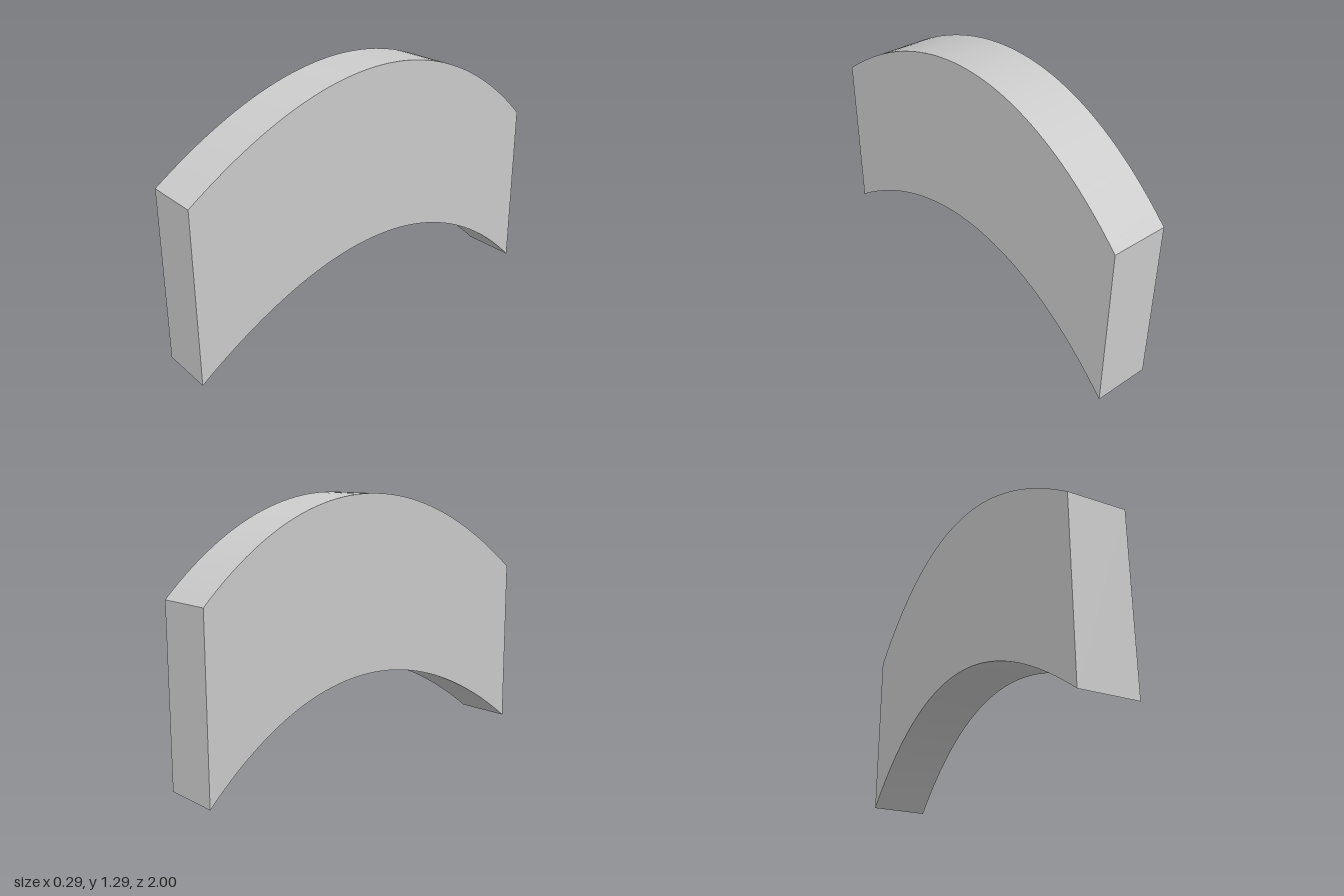
import * as THREE from 'three';
import { toCreasedNormals } from 'three/addons/utils/BufferGeometryUtils.js';

const HEIGHT = 0.857; // vertical thickness of the band, also the control height of its curve
const WIDTH = 0.286;
const PEAK = -0.143; // the curve leans towards the back

export function createModel() {
  const group = new THREE.Group();

  // Side profile: two equal arched edges joined by upright ends
  const profile = new THREE.Shape();
  profile.moveTo(-1, 0);
  profile.quadraticCurveTo(PEAK, HEIGHT, 1, 0);
  profile.lineTo(1, HEIGHT);
  profile.quadraticCurveTo(PEAK, 2 * HEIGHT, -1, HEIGHT);
  profile.closePath();

  let geometry = new THREE.ExtrudeGeometry(profile, {
    depth: WIDTH, bevelEnabled: false, curveSegments: 48,
  });
  // Turn the profile into the z-y plane and centre its width
  geometry.translate(0, 0, -WIDTH / 2);
  geometry.rotateY(-Math.PI / 2);
  geometry = toCreasedNormals(geometry, 0.4);

  const arch = new THREE.Mesh(geometry, new THREE.MeshStandardMaterial({ color: 0xcccccc }));
  arch.name = 'archedBlock';
  group.add(arch);
  return group;
}
